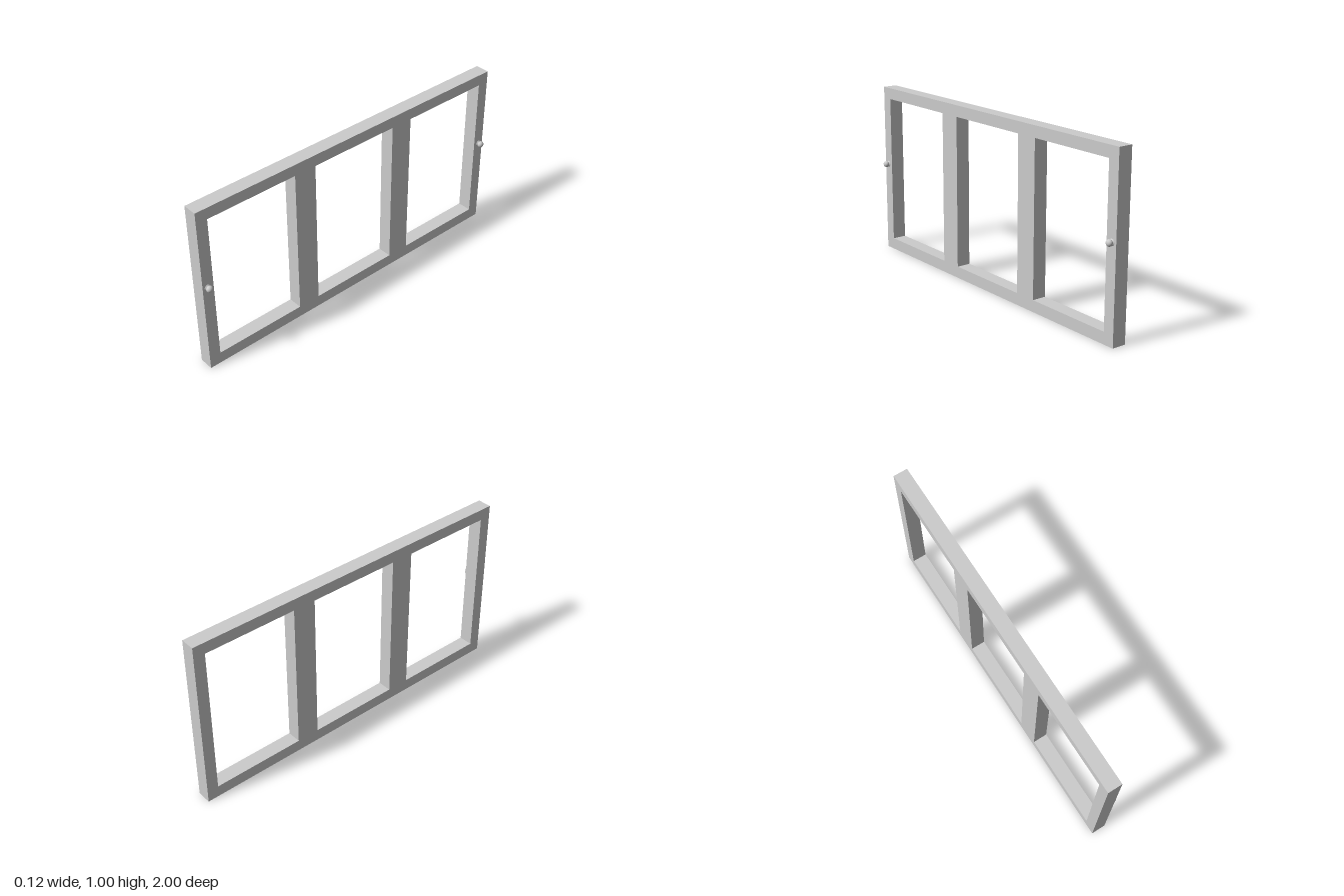
import * as THREE from 'three';

const material = new THREE.MeshStandardMaterial({ color: 0xcccccc });

// Closed rectangle centred on u, running from v0 to v1
function rectangle(Type, u, width, v0, v1) {
  const h = width / 2;
  return new Type([[u - h, v0], [u + h, v0], [u + h, v1], [u - h, v1]]
    .map(([x, y]) => new THREE.Vector2(x, y)));
}

export function createModel() {
  const model = new THREE.Group();
  model.name = 'windowFrame';
  const back = -0.058, front = 0.024;

  // Frame with three equal openings
  const outline = rectangle(THREE.Shape, 0, 2, 0, 1);
  for (const u of [-0.667, 0, 0.667]) {
    outline.holes.push(rectangle(THREE.Path, u, 0.535, 0.067, 0.935));
  }
  const frameGeometry = new THREE.ExtrudeGeometry(outline, { depth: front - back, bevelEnabled: false });
  frameGeometry.rotateY(Math.PI / 2).translate(back, 0, 0);
  const frame = new THREE.Mesh(frameGeometry, material);
  frame.name = 'frame';
  model.add(frame);

  // Round knobs: base plate, slim neck and slightly flattened ball
  const plateGeometry = new THREE.CylinderGeometry(0.012, 0.018, 0.005, 32).translate(0, 0.0025, 0);
  const neckGeometry = new THREE.CylinderGeometry(0.009, 0.009, 0.012, 24).translate(0, 0.006, 0);
  const ballGeometry = new THREE.SphereGeometry(0.0185, 32, 20).scale(1, 0.87, 1).translate(0, 0.017, 0);
  for (const side of [-1, 1]) {
    const knob = new THREE.Group();
    knob.name = side > 0 ? 'frontKnob' : 'backKnob';
    for (const [name, geometry] of [['plate', plateGeometry], ['neck', neckGeometry], ['ball', ballGeometry]]) {
      const mesh = new THREE.Mesh(geometry, material);
      mesh.name = name;
      knob.add(mesh);
    }
    knob.rotation.z = -Math.PI / 2;
    knob.position.set(front, 0.533, side * 0.97);
    model.add(knob);
  }
  return model;
}
